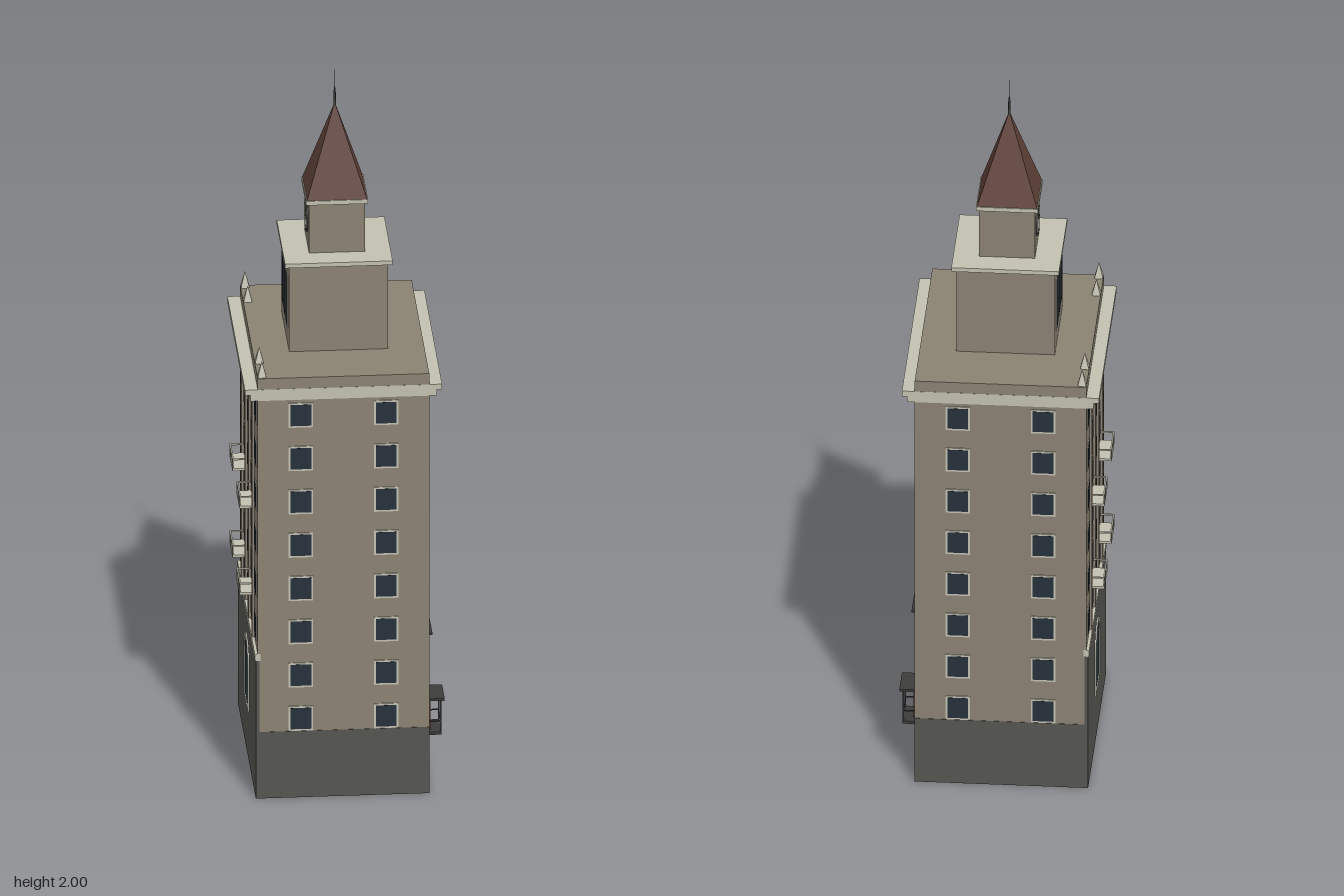
import * as THREE from 'three';

const mat = (name, color) => Object.assign(new THREE.MeshStandardMaterial({ color }), { name });

export function createModel() {
  const wall = mat('wall stone', 0x8a8172), trim = mat('pale trim', 0xc2c0b0), plinth = mat('dark plinth', 0x555650);
  const glass = mat('window glass', 0x26313c), roof = mat('roof tiles', 0x5f4139), metal = mat('dark metal', 0x3c3d3b);
  const doorRed = mat('brown door', 0x6e4036);

  const add = (parent, name, geo, m, x = 0, y = 0, z = 0) => {
    const mesh = new THREE.Mesh(geo, m);
    mesh.name = name;
    mesh.position.set(x, y, z);
    parent.add(mesh);
    return mesh;
  };
  // box given by its centre in x and z, and its bottom and top
  const box = (parent, name, m, w, y0, y1, d, x = 0, z = 0) =>
    add(parent, name, new THREE.BoxGeometry(w, y1 - y0, d), m, x, (y0 + y1) / 2, z);
  // square pyramid with sides parallel to the axes
  const pyramid = (parent, name, m, half, y0, y1, x = 0, z = 0) => {
    const geo = new THREE.ConeGeometry(half * Math.SQRT2, y1 - y0, 4).toNonIndexed();
    geo.rotateY(Math.PI / 4);
    geo.computeVertexNormals();
    return add(parent, name, geo, m, x, (y0 + y1) / 2, z);
  };

  const model = new THREE.Group();
  model.name = 'tower building';
  const b = new THREE.Group();
  b.name = 'building';
  b.position.set(-0.004, 0, -0.001);
  model.add(b);
  const HX = 0.231, HZ = 0.307;

  // main block
  box(b, 'plinth', plinth, HX * 2 + 0.002, 0, 0.195, HZ * 2 + 0.002);
  box(b, 'mainBlock', wall, HX * 2, 0.195, 1.17, HZ * 2);
  box(b, 'corniceLower', trim, 0.502, 1.17, 1.187, HZ * 2 + 0.001);
  box(b, 'corniceUpper', trim, 0.531, 1.187, 1.203, HZ * 2 + 0.001);
  box(b, 'parapet', wall, HX * 2, 1.203, 1.235, HZ * 2);

  // stepped tower and spire
  box(b, 'lowerTower', wall, 0.266, 1.235, 1.485, 0.272);
  box(b, 'lowerTowerCornice', trim, 0.29, 1.485, 1.497, 0.29);
  box(b, 'upperTower', wall, 0.15, 1.497, 1.64, 0.154);
  box(b, 'upperTowerCornice', trim, 0.167, 1.64, 1.652, 0.167);
  pyramid(b, 'spireRoof', roof, 0.081, 1.652, 1.905);
  add(b, 'mastBase', new THREE.CylinderGeometry(0.0025, 0.004, 0.06, 8), metal, 0, 1.915, 0);
  add(b, 'mast', new THREE.CylinderGeometry(0.0012, 0.0015, 0.08, 6), metal, 0, 1.96, 0);

  // pinnacles along the street edge
  for (const z of [-0.294, -0.201, 0.201, 0.294]) {
    box(b, 'pinnacleBase', trim, 0.018, 1.235, 1.24, 0.018, -0.219, z);
    pyramid(b, 'pinnacle', trim, 0.0115, 1.238, 1.282, -0.219, z);
  }

  // one group per wall, with local +z pointing outward
  const wallFace = (name, angle, dist) => {
    const g = new THREE.Group();
    g.name = name;
    g.rotation.y = angle;
    g.position.set(Math.sin(angle) * dist, 0, Math.cos(angle) * dist);
    b.add(g);
    return g;
  };
  const windowAt = (face, x, y, w = 0.056, h = 0.062) => {
    box(face, 'windowFrame', trim, w + 0.01, y - h / 2 - 0.005, y + h / 2 + 0.005, 0.005, x);
    box(face, 'windowPane', glass, w, y - h / 2, y + h / 2, 0.0064, x);
  };
  const pitch = 0.1275, top = 1.125;

  // two end walls
  for (const [name, a] of [['endWallFront', 0], ['endWallBack', Math.PI]]) {
    const face = wallFace(name, a, HZ);
    for (let i = 0; i < 8; i++) for (const x of [-0.115, 0.115]) windowAt(face, x, top - i * pitch);
  }

  // courtyard wall with stair windows and two small porches
  const yard = wallFace('courtyardWall', Math.PI / 2, HX);
  for (let i = 0; i < 8; i++) {
    for (const x of [-0.247, -0.123, 0.123, 0.247]) windowAt(yard, x, top - i * pitch);
    windowAt(yard, 0, i < 7 ? 1.064 - i * pitch : 0.235, 0.038, 0.046);
  }
  for (const x of [-0.215, 0.215]) {
    const porch = new THREE.Group();
    porch.name = 'porch';
    porch.position.x = x;
    yard.add(porch);
    box(porch, 'porchDoor', doorRed, 0.044, 0.157, 0.24, 0.016);
    box(porch, 'porchCanopy', metal, 0.092, 0.249, 0.256, 0.045, 0, 0.0225);
    box(porch, 'porchFloor', metal, 0.084, 0.148, 0.156, 0.036, 0, 0.018);
    box(porch, 'porchRail', metal, 0.078, 0.185, 0.188, 0.003, 0, 0.035);
    for (const s of [-1, 1]) {
      box(porch, 'porchPost', metal, 0.004, 0.15, 0.252, 0.004, s * 0.038, 0.035);
      box(porch, 'porchSideRail', metal, 0.003, 0.185, 0.188, 0.034, s * 0.038, 0.018);
    }
  }

  // street facade
  const street = wallFace('streetFacade', -Math.PI / 2, HX);
  box(street, 'streetPlinth', plinth, HZ * 2 + 0.002, 0, 0.405, 0.01);
  box(street, 'stringCourse', trim, HZ * 2 + 0.002, 0.405, 0.425, 0.016);
  for (let i = 0; i < 6; i++) {
    for (const x of [-0.247, -0.123, 0.123, 0.247]) windowAt(street, x, top - i * pitch);
    windowAt(street, 0, top - i * pitch, 0.04, 0.062);
  }
  for (const x of [-0.185, -0.06, 0.06, 0.185]) {
    box(street, 'pilaster', wall, 0.022, 0.425, 1.155, 0.014, x);
    box(street, 'pilasterCapital', trim, 0.028, 1.14, 1.158, 0.017, x);
  }

  // arched doorway
  const arch = (w, y0, y1) => {
    const r = w / 2, s = new THREE.Shape();
    s.moveTo(-r, y0);
    s.lineTo(r, y0);
    s.lineTo(r, y1 - r);
    s.absarc(0, y1 - r, r, 0, Math.PI, false);
    s.lineTo(-r, y0);
    return s;
  };
  const surround = arch(0.15, 0.15, 0.345);
  surround.holes.push(arch(0.124, 0.151, 0.332));
  add(street, 'doorSurround', new THREE.ExtrudeGeometry(surround, { depth: 0.005, bevelEnabled: false }), trim, 0, 0, 0.004);
  add(street, 'doorLeaf', new THREE.ExtrudeGeometry(arch(0.126, 0.151, 0.333), { depth: 0.002, bevelEnabled: false }), glass, 0, 0, 0.004);

  // balconies
  for (const y of [0.54, 0.795]) for (const x of [-0.123, 0.123]) {
    box(street, 'balconyFloor', trim, 0.102, y, y + 0.007, 0.039, x, 0.0195);
    box(street, 'balconyRail', trim, 0.102, y + 0.031, y + 0.035, 0.004, x, 0.037);
    for (let k = 0; k < 9; k++) box(street, 'baluster', trim, 0.004, y, y + 0.033, 0.003, x - 0.049 + k * 0.01225, 0.037);
    for (const s of [-1, 1]) box(street, 'balconySideRail', trim, 0.004, y + 0.031, y + 0.035, 0.038, x + s * 0.049, 0.019);
  }

  // belfry openings and clock
  const belfry = wallFace('belfryWall', -Math.PI / 2, 0.133);
  for (const x of [-0.072, 0, 0.072]) windowAt(belfry, x, 1.365, 0.042, 0.145);
  const clock = wallFace('clock', -Math.PI / 2, 0.075);
  add(clock, 'clockRim', new THREE.TorusGeometry(0.042, 0.0035, 6, 32), metal, 0, 1.575, 0.001);
  add(clock, 'clockFace', new THREE.CylinderGeometry(0.042, 0.042, 0.006, 32).rotateX(Math.PI / 2), trim, 0, 1.575, 0);
  box(clock, 'minuteHand', metal, 0.003, 1.575, 1.608, 0.009);
  add(clock, 'hourHand', new THREE.BoxGeometry(0.022, 0.003, 0.009), metal, 0.011, 1.575, 0);

  return model;
}
